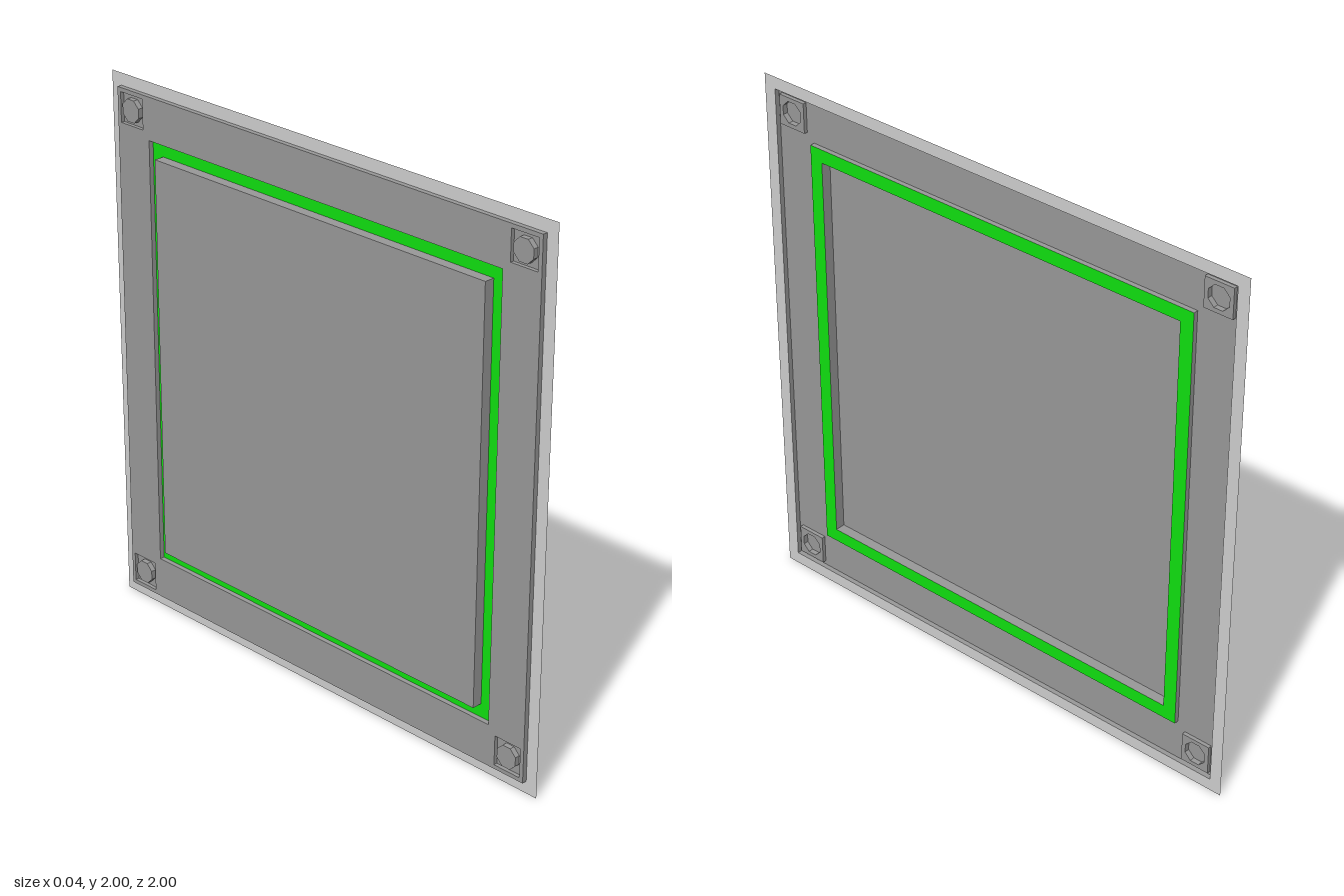
import * as THREE from 'three';

const mat = (name, color) => {
  const m = new THREE.MeshStandardMaterial({ color, side: THREE.DoubleSide });
  m.name = name;
  return m;
};

// Regular polygon points with flat sides at distance a from the centre
function poly(n, a, cx = 0, cy = 0) {
  const r = a / Math.cos(Math.PI / n);
  return Array.from({ length: n }, (_, i) => {
    const t = Math.PI / n + (i * 2 * Math.PI) / n;
    return new THREE.Vector2(cx + r * Math.cos(t), cy + r * Math.sin(t));
  });
}

export function createModel() {
  const grey = mat('panel grey', 0x999999);
  const pale = mat('rim pale grey', 0xcfcfcf);
  const green = mat('band green', 0x10e010);

  // The sheet is pressed along z, then turned to face +x
  const panel = new THREE.Group();
  panel.name = 'panel';

  const add = (name, geo, m) => {
    const mesh = new THREE.Mesh(geo, m);
    mesh.name = name;
    panel.add(mesh);
  };
  // Flat sheet at depth z, with optional holes
  const sheet = (name, outline, holes, z, m) => {
    const s = new THREE.Shape(outline);
    holes.forEach(h => s.holes.push(new THREE.Path(h)));
    add(name, new THREE.ShapeGeometry(s).translate(0, 0, z), m);
  };
  // Open polygonal wall between two depths
  const wall = (name, n, a, z0, z1, m, cx = 0, cy = 0) => {
    const r = a / Math.cos(Math.PI / n);
    const g = new THREE.CylinderGeometry(r, r, z1 - z0, n, 1, true, Math.PI / n)
      .rotateX(Math.PI / 2).translate(cx, cy, (z0 + z1) / 2).toNonIndexed();
    g.computeVertexNormals();
    add(name, g, m);
  };

  const rimZ = 0.018, floorZ = 0, bandZ = 0.018, padZ = 0.014, pitZ = -0.005, trayZ = -0.02;
  const corners = [[1, 1], [-1, 1], [-1, -1], [1, -1]].map(([x, y]) => [x * 0.885, y * 0.885]);

  // Outer rim and the step down to the floor
  sheet('outerRim', poly(4, 1), [poly(4, 0.955)], rimZ, pale);
  wall('rimWall', 4, 0.955, floorZ, rimZ, grey);
  sheet('floor', poly(4, 0.955),
    [poly(4, 0.8), ...corners.map(([x, y]) => poly(4, 0.055, x, y))], floorZ, grey);

  // Raised coloured band
  wall('bandOuterWall', 4, 0.8, floorZ, bandZ, grey);
  sheet('band', poly(4, 0.8), [poly(4, 0.75)], bandZ, green);

  // Sunken central tray
  wall('trayWall', 4, 0.75, trayZ, bandZ, grey);
  sheet('trayFloor', poly(4, 0.75), [], trayZ, grey);

  // Corner pads with bolt pits
  for (const [x, y] of corners) {
    wall('padWall', 4, 0.055, floorZ, padZ, grey, x, y);
    sheet('pad', poly(4, 0.055, x, y), [poly(8, 0.04, x, y)], padZ, grey);
    wall('boltWall', 8, 0.04, pitZ, padZ, grey, x, y);
    sheet('boltFace', poly(8, 0.04, x, y), [], pitZ, grey);
  }

  panel.rotation.y = Math.PI / 2;
  panel.position.y = 1;
  const model = new THREE.Group();
  model.name = 'wallPanel';
  model.add(panel);
  return model;
}
